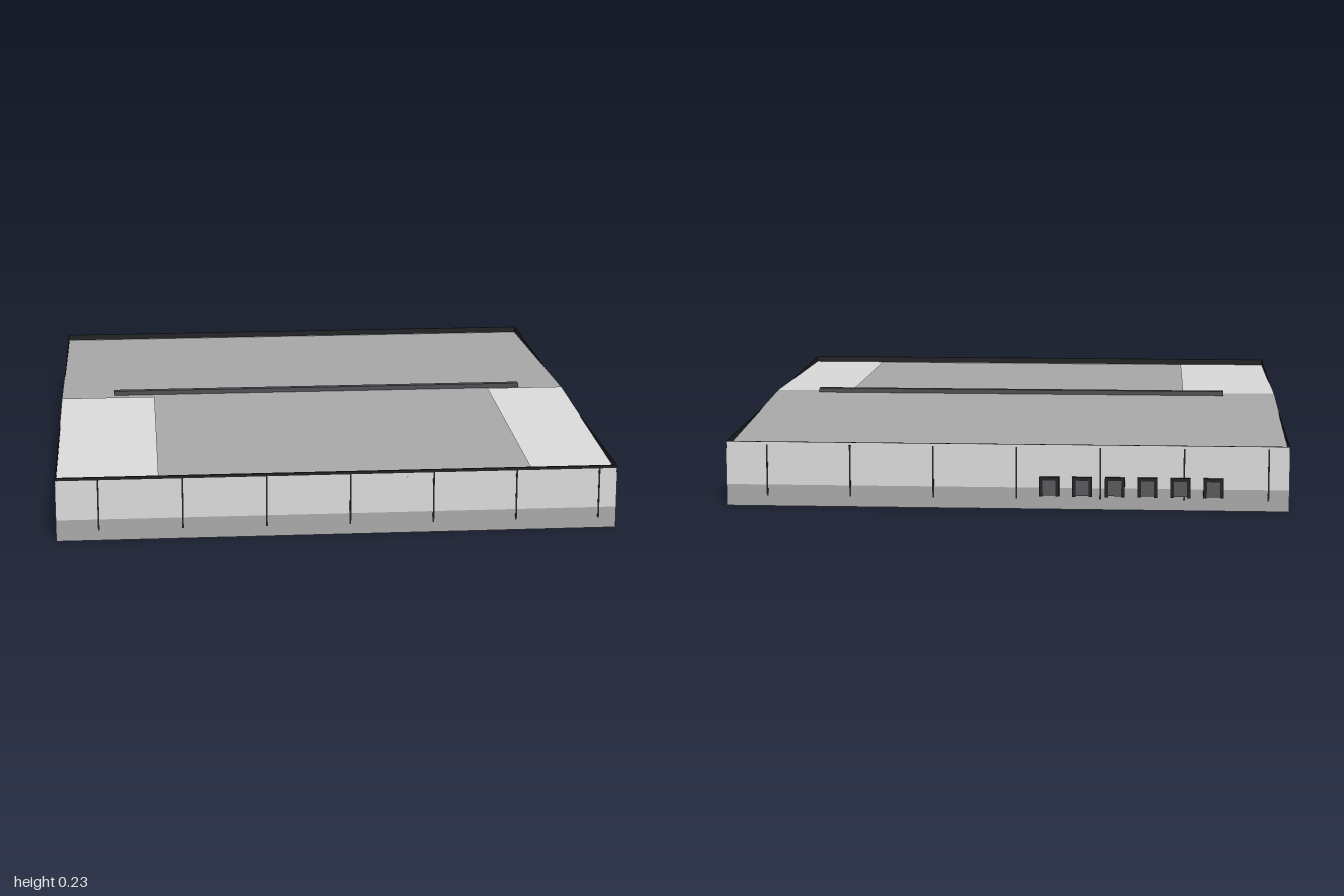
import * as THREE from 'three';

const X0 = -0.91, X1 = 0.903, Z0 = -0.99, Z1 = 0.995;   // wall faces
const BAND = 0.07, TOP = 0.21, RIDGE = 0.22, SLOPE = 0.032;
const roofY = (z) => RIDGE - SLOPE * Math.abs(z);      // shallow gable

const mat = (name, color, side = THREE.FrontSide) => {
  const m = new THREE.MeshStandardMaterial({ color, side });
  m.name = name;
  return m;
};
const shape = (points) => new THREE.Shape(points.map(([x, y]) => new THREE.Vector2(x, y)));

export function createModel() {
  const model = new THREE.Group();
  model.name = 'warehouse';
  const wallMat = mat('pale cladding', 0xdbdbdb, THREE.DoubleSide);
  const greyMat = mat('mid grey', 0xa9a9a9, THREE.DoubleSide);
  const trimMat = mat('black trim', 0x222426);
  const ventMat = mat('vent grey', 0x504f55);
  const glassMat = mat('dark glass', 0x5a5a5e);

  const add = (parent, name, geometry, material, x = 0, y = 0, z = 0) => {
    const mesh = new THREE.Mesh(geometry, material);
    mesh.name = name;
    mesh.position.set(x, y, z);
    parent.add(mesh);
    return mesh;
  };

  // Roof patch between two z lines, following the slope
  const roofPatch = (name, xa, xb, za, zb, lift, material) => {
    const g = new THREE.BufferGeometry();
    const ya = roofY(za) + lift, yb = roofY(zb) + lift;
    g.setAttribute('position', new THREE.Float32BufferAttribute(
      [xa, ya, za, xa, yb, zb, xb, yb, zb, xb, ya, za], 3));
    g.setIndex([0, 1, 2, 0, 2, 3]);
    g.computeVertexNormals();
    add(model, name, g, material);
  };
  roofPatch('backRoof', X0, X1, Z0, 0, 0, greyMat);
  roofPatch('frontRoof', X0, X1, 0, Z1, 0, greyMat);
  roofPatch('rightPaleRoofPanel', X0, -0.58, 0.045, Z1, 0.002, wallMat);
  roofPatch('leftPaleRoofPanel', 0.63, X1, 0.025, Z1, 0.002, wallMat);

  // Side ends of the roof: gable triangle above the wall, tapering parapet linings beside it
  const zg = (RIDGE - TOP) / SLOPE;
  const gableGeo = new THREE.ShapeGeometry(shape([[-zg, TOP], [zg, TOP], [0, RIDGE]]));
  const liningGeos = [-Z1, -Z0].map((u) => new THREE.ExtrudeGeometry(
    shape([[u, roofY(u)], [u, TOP], [Math.sign(u) * zg, TOP]]),
    { depth: 0.003, bevelEnabled: false }));
  for (const [x, inset] of [[X0, 0], [X1, -0.003]]) {
    add(model, 'gable', gableGeo, greyMat, x).rotation.y = Math.PI / 2;
    for (const geo of liningGeos) {
      add(model, 'sideParapetLining', geo, trimMat, x + inset).rotation.y = Math.PI / 2;
    }
  }

  // Ridge vent, passing through the roof
  add(model, 'ridgeVent', new THREE.BoxGeometry(1.468, 0.03, 0.022), ventMat, 0.01, 0.22, 0.002);

  // Window frame: an upside-down U
  const frameGeo = new THREE.ExtrudeGeometry(shape([
    [-0.032, 0], [-0.032, 0.064], [0.032, 0.064], [0.032, 0],
    [0.021, 0], [0.021, 0.053], [-0.021, 0.053], [-0.021, 0],
  ]), { depth: 0.01, bevelEnabled: false });
  const glassGeo = new THREE.BoxGeometry(0.044, 0.05, 0.006);
  const seamGeo = new THREE.BoxGeometry(0.005, 0.168, 0.0015);

  // Each wall is built facing +z, then turned into place
  const wall = (name, width, x, z, turn, seams, windows) => {
    const g = new THREE.Group();
    g.name = name;
    g.position.set(x, 0, z);
    g.rotation.y = turn;
    model.add(g);
    add(g, 'plinth', new THREE.PlaneGeometry(width, BAND), greyMat, 0, BAND / 2);
    add(g, 'cladding', new THREE.PlaneGeometry(width, TOP - BAND), wallMat, 0, (TOP + BAND) / 2);
    for (const u of seams) add(g, 'seam', seamGeo, trimMat, u, 0.118, 0.001);
    for (const u of windows) {
      add(g, 'windowFrame', frameGeo, trimMat, u, 0.043, 0);
      add(g, 'windowGlass', glassGeo, glassMat, u, 0.071, 0.0035);
    }
    return g;
  };

  const row = (n, start, step) => Array.from({ length: n }, (_, i) => start + i * step);
  const cx = (X0 + X1) / 2, cz = (Z0 + Z1) / 2, w = X1 - X0, d = Z1 - Z0;
  const front = wall('frontWall', w, cx, Z1, 0, row(7, -0.775 - cx, 0.27), []);
  const back = wall('backWall', w, cx, Z0, Math.PI,
    row(7, -0.77 + cx, 0.269), row(6, 0.143 + cx, 0.105));
  wall('leftWall', d, X1, cz, Math.PI / 2, [cz - 0.867, cz - 0.327], row(15, cz - 0.595, 0.1053));
  wall('rightWall', d, X0, cz, -Math.PI / 2, row(7, -0.855 - cz, 0.27), []);

  // Black linings inside the end parapets, and the trim along the front edge
  for (const g of [front, back]) {
    add(g, 'endParapetLining', new THREE.BoxGeometry(w, 0.021, 0.004), trimMat, 0, 0.2005, -0.0025);
  }
  add(front, 'frontTrim', new THREE.BoxGeometry(w, 0.009, 0.004), trimMat, 0, 0.2065, 0.001);

  return model;
}
